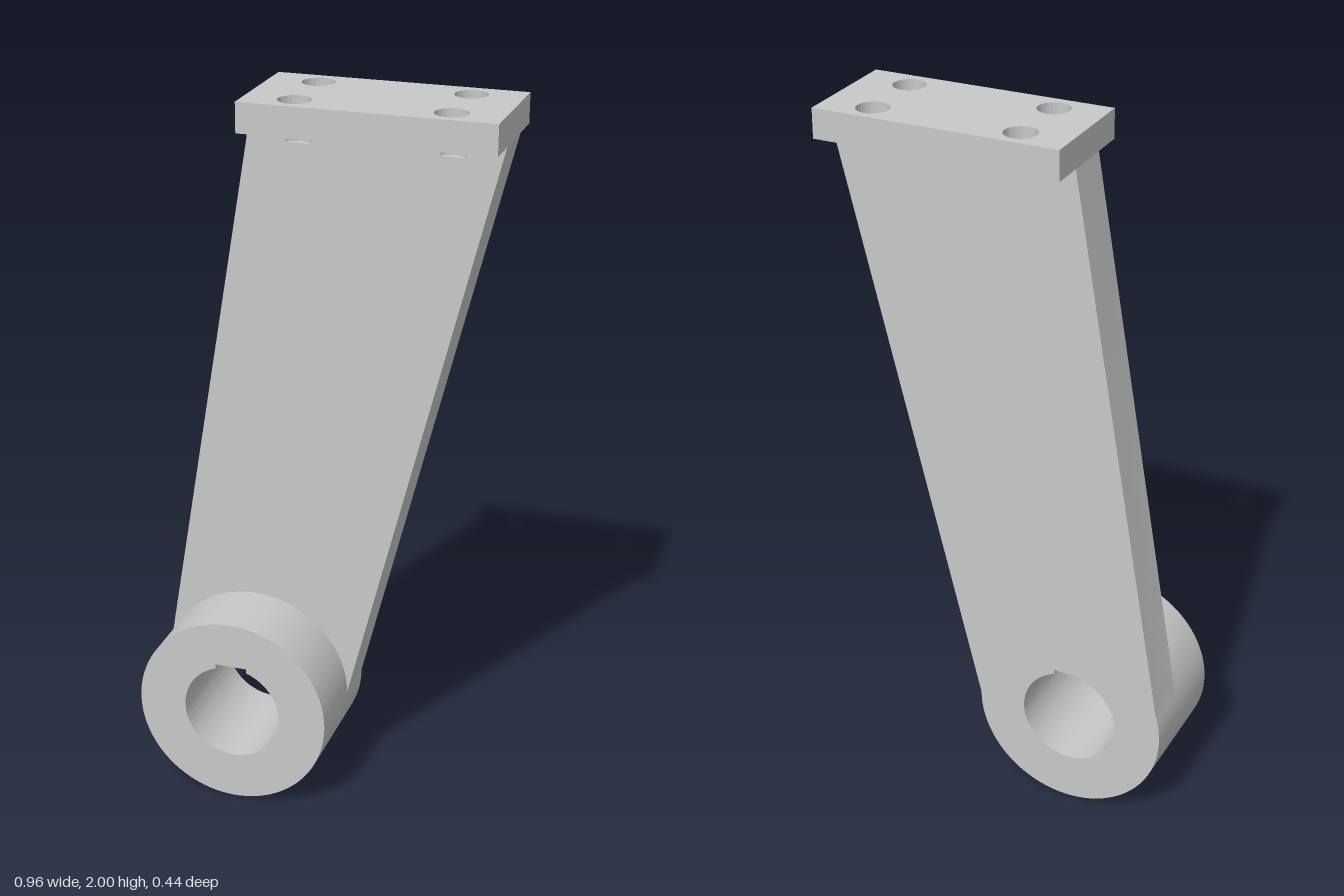
import * as THREE from 'three';
import { toCreasedNormals } from 'three/addons/utils/BufferGeometryUtils.js';

const HUB = { x: -0.2065, y: 0.2755, r: 0.2755, bore: 0.14, front: 0.22 };
const ARM = { back: -0.1245, front: 0.014, notchY: 1.88, topY: 1.918, left: -0.206, right: 0.481 };
const HOLE = { r: 0.0445, xs: [-0.07, 0.343], back: -0.152, front: 0.041 };

// x of the slanted arm sides at height y
const leftAt = y => THREE.MathUtils.mapLinear(y, 0.36, ARM.topY, -0.469, ARM.left);
const rightAt = y => THREE.MathUtils.mapLinear(y, HUB.y, ARM.topY, HUB.x + HUB.r, ARM.right);

const extrude = (shape, depth) =>
  new THREE.ExtrudeGeometry(shape, { depth, bevelEnabled: false, curveSegments: 48 });

// round bore with a shallow keyway at its top
function borePath() {
  const half = 0.045, a = Math.acos(half / HUB.bore), top = HUB.y + 0.145;
  const p = new THREE.Path();
  p.moveTo(HUB.x + half, top);
  p.lineTo(HUB.x - half, top);
  p.absarc(HUB.x, HUB.y, HUB.bore, Math.PI - a, 2 * Math.PI + a, false);
  p.closePath();
  return p;
}

// tapered arm whose lower end wraps around the bore
function armGeometry() {
  const s = new THREE.Shape();
  s.moveTo(rightAt(ARM.notchY), ARM.notchY);
  s.lineTo(leftAt(ARM.notchY), ARM.notchY);
  s.absarc(HUB.x, HUB.y, HUB.r, Math.atan2(0.36 - HUB.y, -0.469 - HUB.x), 2 * Math.PI, false);
  s.closePath();
  s.holes.push(borePath());
  return extrude(s, ARM.front - ARM.back).translate(0, 0, ARM.back);
}

// top slice of the arm, with the bolt holes cutting into both faces
function notchedGeometry() {
  const { left, right, front, back, notchY, topY } = ARM;
  const aF = Math.asin((HOLE.front - front) / HOLE.r);
  const aB = Math.asin((back - HOLE.back) / HOLE.r);
  const s = new THREE.Shape();
  s.moveTo(left, -back);
  s.lineTo(left, -front);
  for (const x of HOLE.xs) s.absarc(x, -HOLE.front, HOLE.r, Math.PI - aF, aF, true);
  s.lineTo(right, -front);
  s.lineTo(right, -back);
  for (const x of [...HOLE.xs].reverse()) s.absarc(x, -HOLE.back, HOLE.r, -aB, aB - Math.PI, true);
  s.closePath();
  const g = extrude(s, topY - notchY).rotateX(-Math.PI / 2).translate(0, notchY, 0);
  // lean the two ends to follow the arm's taper
  const p = g.attributes.position;
  for (let i = 0; i < p.count; i++) {
    if (p.getX(i) < left + 1e-4) p.setX(i, leftAt(p.getY(i)));
    else if (p.getX(i) > right - 1e-4) p.setX(i, rightAt(p.getY(i)));
  }
  return g;
}

// front boss around the bore
function bossGeometry() {
  const s = new THREE.Shape();
  s.absarc(HUB.x, HUB.y, HUB.r, 0, 2 * Math.PI, false);
  s.holes.push(borePath());
  return extrude(s, HUB.front - ARM.front).translate(0, 0, ARM.front);
}

// mounting plate with four bolt holes
function plateGeometry() {
  const zBack = -0.2205, zFront = 0.11;
  const s = new THREE.Shape();
  s.moveTo(ARM.left, -zFront);
  s.lineTo(ARM.right, -zFront);
  s.lineTo(ARM.right, -zBack);
  s.lineTo(ARM.left, -zBack);
  s.closePath();
  for (const x of HOLE.xs) for (const z of [HOLE.back, HOLE.front]) {
    s.holes.push(new THREE.Path().absarc(x, -z, HOLE.r, 0, 2 * Math.PI, true));
  }
  return extrude(s, 2 - ARM.topY).rotateX(-Math.PI / 2).translate(0, ARM.topY, 0);
}

export function createModel() {
  const steel = new THREE.MeshStandardMaterial({ color: 0xc8c8c8 });
  steel.name = 'grey steel';
  const group = new THREE.Group();
  group.name = 'mountingBracket';
  const parts = {
    arm: armGeometry(),
    notchedArmTop: notchedGeometry(),
    hubBoss: bossGeometry(),
    mountingPlate: plateGeometry(),
  };
  for (const [name, geometry] of Object.entries(parts)) {
    const mesh = new THREE.Mesh(toCreasedNormals(geometry, 0.4), steel);
    mesh.name = name;
    group.add(mesh);
  }
  return group;
}
